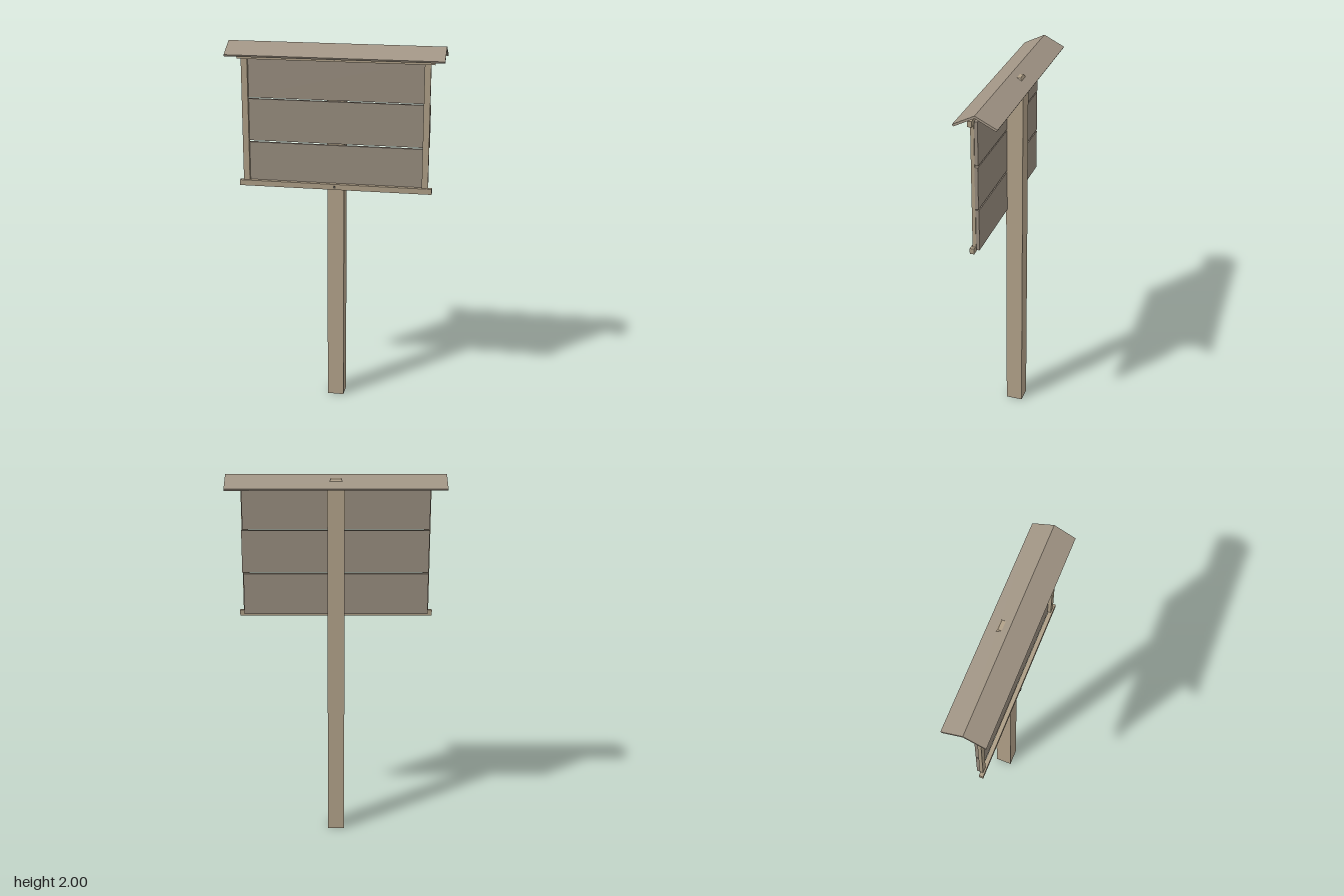
import * as THREE from 'three';

const wood = (color) => new THREE.MeshStandardMaterial({ color, roughness: 0.9, flatShading: true });
const postWood = wood(0xb0a088);
const boardWood = wood(0x958a7c);
const trimWood = wood(0xab9c84);
const roofWood = wood(0xa09484);
const iron = wood(0x4a4640);

export function createModel() {
  const model = new THREE.Group();
  model.name = 'signBoard';

  const add = (name, geometry, material, x = 0, y = 0, z = 0) => {
    const mesh = new THREE.Mesh(geometry, material);
    mesh.name = name;
    mesh.position.set(x, y, z);
    model.add(mesh);
    return mesh;
  };
  // Box given by its limits on each axis
  const block = (name, material, [x0, x1], [y0, y1], [z0, z1]) =>
    add(name, new THREE.BoxGeometry(x1 - x0, y1 - y0, z1 - z0), material,
      (x0 + x1) / 2, (y0 + y1) / 2, (z0 + z1) / 2);

  // Square post with a tapered top that pokes through the roof
  const postZ = -0.025;
  block('post', postWood, [-0.045, 0.045], [0, 1.948], [postZ - 0.045, postZ + 0.045]);
  const cap = new THREE.CylinderGeometry(0.026 * Math.SQRT2, 0.045 * Math.SQRT2, 0.036, 4);
  cap.rotateY(Math.PI / 4);
  add('postTop', cap, postWood, 0, 1.966, postZ);

  // Three planks with narrow gaps, ends slightly uneven
  [[1.243, 1.466, 0.49], [1.475, 1.7, 0.496], [1.707, 1.935, 0.49]].forEach(([y0, y1, right], i) =>
    block('plank' + (i + 1), boardWood, [-0.49, right], [y0, y1], [0.014, 0.031]));

  // Upright battens at both sides
  for (const side of [-1, 1]) {
    const batten = block('sideBatten', trimWood, [-0.0165, 0.0165], [1.255, 1.92], [0.031, 0.049]);
    batten.position.x = side * 0.478;
  }

  // Top and bottom rails, each with a nail in the middle
  for (const y of [1.245, 1.93]) {
    block('rail', trimWood, [-0.515, 0.515], [y - 0.015, y + 0.015], [0.034, 0.057]);
    const nail = new THREE.CylinderGeometry(0.007, 0.007, 0.006, 8);
    nail.rotateX(Math.PI / 2);
    add('nail', nail, iron, 0, y, 0.058);
  }

  // Gabled roof: two thin slopes meeting at the ridge (profile runs along z, y)
  const profile = new THREE.Shape([
    [-0.111, 1.944], [-0.105, 1.934], [0, 1.987], [0.105, 1.934], [0.111, 1.944], [0, 2],
  ].map(([a, b]) => new THREE.Vector2(a, b)));
  const roof = new THREE.ExtrudeGeometry(profile, { depth: 1.136, bevelEnabled: false });
  roof.translate(0, 0, -0.568);
  roof.rotateY(Math.PI / 2);
  add('roof', roof, roofWood);

  return model;
}
